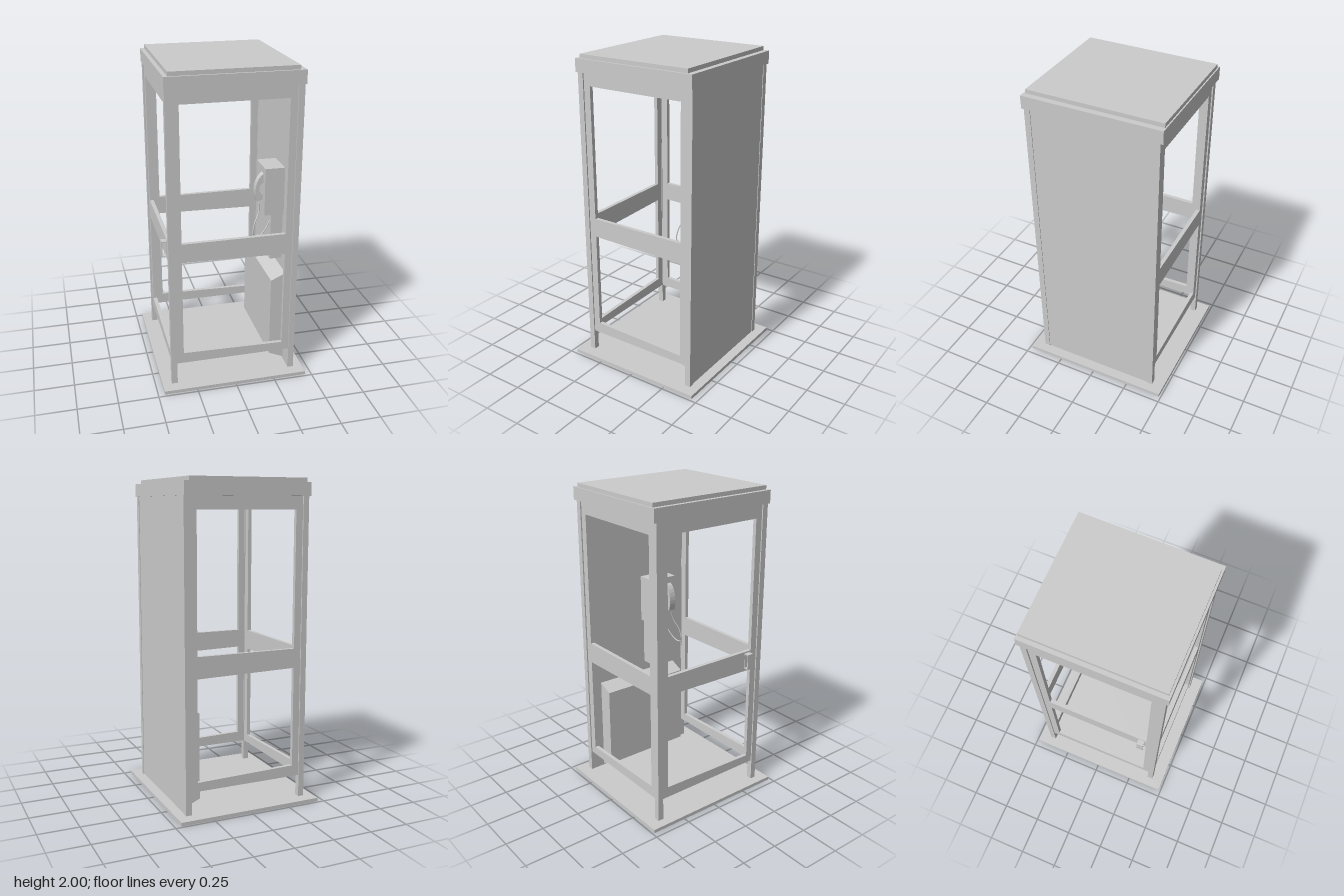
import * as THREE from 'three';

const grey = new THREE.MeshStandardMaterial({ color: 0xcccccc, side: THREE.DoubleSide });

function add(parent, name, geometry) {
  const mesh = new THREE.Mesh(geometry, grey);
  mesh.name = name;
  parent.add(mesh);
  return mesh;
}

// Box given by its lower and upper corner
function box(parent, name, [x0, y0, z0], [x1, y1, z1]) {
  const mesh = add(parent, name, new THREE.BoxGeometry(x1 - x0, y1 - y0, z1 - z0));
  mesh.position.set((x0 + x1) / 2, (y0 + y1) / 2, (z0 + z1) / 2);
  return mesh;
}

function polygon(points) {
  return new THREE.Shape(points.map(([x, y]) => new THREE.Vector2(x, y)));
}

// Extrudes a shape along z, from z0 to z1
function extrude(shape, z0, z1, curveSegments = 8) {
  const geometry = new THREE.ExtrudeGeometry(shape, { depth: z1 - z0, bevelEnabled: false, curveSegments });
  return geometry.translate(0, 0, z0);
}

function rect(w, y0, y1) {
  return [[-w, y0], [w, y0], [w, y1], [-w, y1]];
}

// Frame with two window openings and three rails, lying in the xy plane
function frameGeometry(halfWidth, thickness) {
  const shape = polygon(rect(halfWidth, 0.16, 1.9));
  const w = halfWidth - 0.045;
  shape.holes.push(
    polygon([[-w, 0.23], [w, 0.215], [w, 0.845], [-w, 0.857]]),
    polygon(rect(w, 0.977, 1.815)),
  );
  return extrude(shape, 0, thickness);
}

export function createModel() {
  const model = new THREE.Group();
  model.name = 'telephoneBooth';

  // Floor and roof
  box(model, 'floorPlate', [-0.46, 0, -0.487], [0.46, 0.022, 0.484]);
  box(model, 'roofBand', [-0.405, 1.895, -0.428], [0.405, 1.975, 0.425]);
  box(model, 'roofCap', [-0.38, 1.975, -0.42], [0.37, 2, 0.412]);

  // Corner posts
  for (const sx of [-1, 1]) {
    for (const sz of [-1, 1]) {
      const post = box(model, 'cornerPost', [-0.0185, 0.02, -0.0185], [0.0185, 1.9, 0.0185]);
      post.position.x = sx * 0.3825;
      post.position.z = sz * 0.3925;
    }
  }

  // Window frames at the front, back and left, solid panel at the right
  add(model, 'frontFrame', frameGeometry(0.365, 0.025)).position.z = 0.378;
  add(model, 'backFrame', frameGeometry(0.365, 0.025)).position.z = -0.403;
  const door = add(model, 'doorFrame', frameGeometry(0.375, 0.025));
  door.rotation.y = -Math.PI / 2;
  door.position.x = -0.368;
  box(model, 'sidePanel', [0.365, 0.02, -0.375], [0.397, 1.9, 0.375]);

  // Door handle, a thin bracket
  const bracket = polygon([[-0.427, 0.865], [-0.39, 0.865], [-0.39, 0.967], [-0.427, 0.967]]);
  bracket.holes.push(polygon([[-0.421, 0.871], [-0.396, 0.871], [-0.396, 0.961], [-0.421, 0.961]]));
  add(model, 'doorHandle', extrude(bracket, 0.277, 0.318));

  // Telephone on its wall support
  const phone = new THREE.Group();
  phone.name = 'telephone';
  model.add(phone);
  box(phone, 'phoneBody', [0.24, 1.03, 0.03], [0.37, 1.335, 0.22]);
  box(phone, 'wallSupport', [0.288, 0.72, 0.05], [0.37, 1.03, 0.205]);

  // Curved handset
  const handset = new THREE.Shape();
  handset.moveTo(0.242, 1.295);
  handset.bezierCurveTo(0.185, 1.26, 0.18, 1.17, 0.2, 1.115);
  handset.lineTo(0.235, 1.122);
  handset.lineTo(0.24, 1.155);
  handset.bezierCurveTo(0.205, 1.165, 0.205, 1.225, 0.242, 1.237);
  handset.closePath();
  add(phone, 'handset', extrude(handset, 0.14, 0.185));

  // Hanging cord
  const cord = new THREE.CatmullRomCurve3([
    [0.216, 1.12, 0.165], [0.212, 1.04, 0.185], [0.18, 0.975, 0.21], [0.17, 0.89, 0.22],
    [0.21, 0.885, 0.21], [0.285, 0.97, 0.18], [0.31, 1.07, 0.15],
  ].map((p) => new THREE.Vector3(...p)));
  add(phone, 'cord', new THREE.TubeGeometry(cord, 32, 0.004, 6));

  // Low cabinet with bevelled top and bottom
  const cabinet = polygon([[0.27, 0.075], [0.366, 0.032], [0.366, 0.655], [0.27, 0.612]]);
  add(model, 'lowerCabinet', extrude(cabinet, -0.31, 0.3));

  return model;
}
